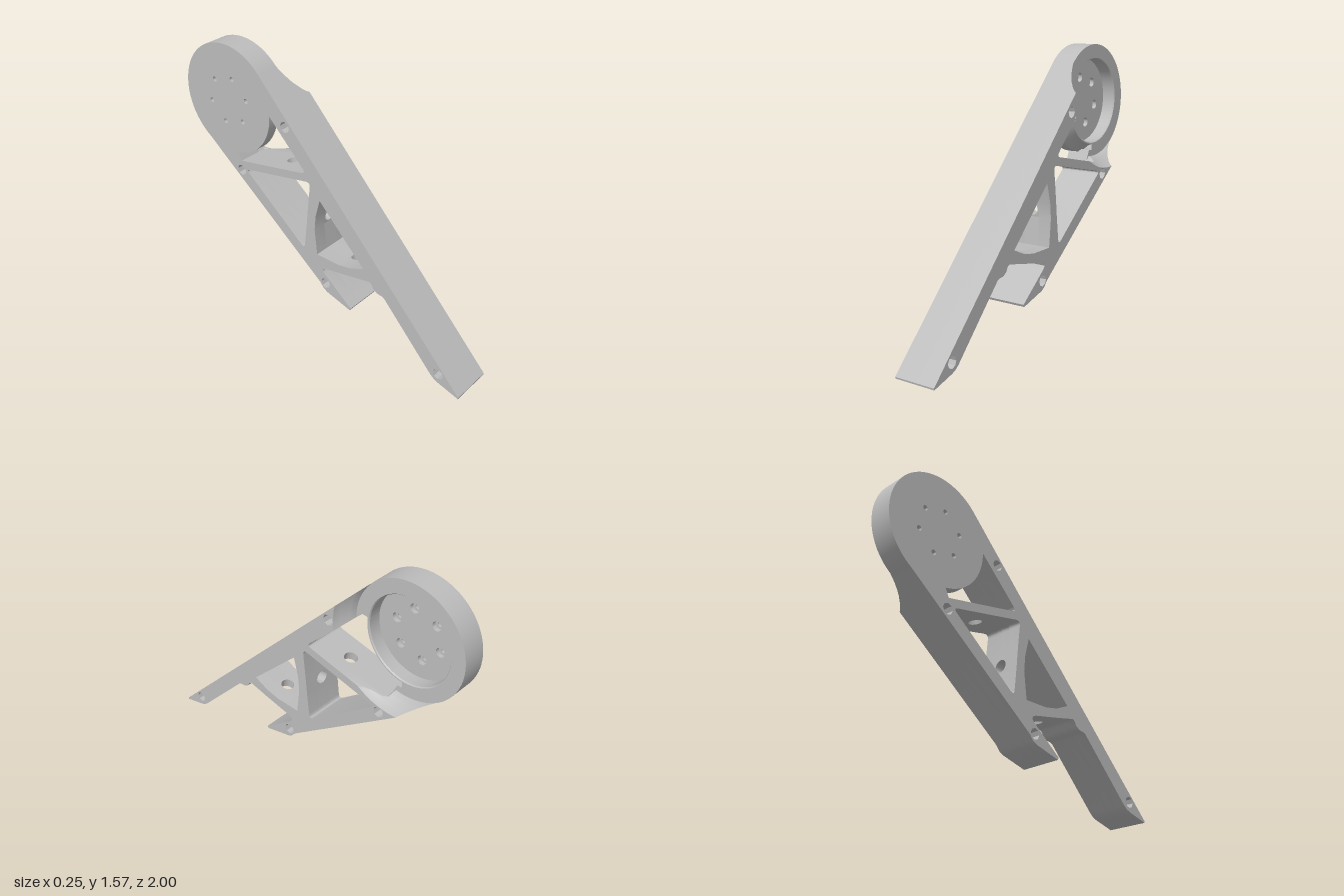
import * as THREE from 'three';
import { toCreasedNormals } from 'three/addons/utils/BufferGeometryUtils.js';

const V = (u, y) => new THREE.Vector2(u, y);
const C = V(0.66, 1.235);   // hub centre; the side plane is (u, y) with u = -z
const W = 0.125;            // half width
const TOP = 0.015;          // hub front face
const PASS = 0.045;         // half size of the openings in the ribs

// Loft outlines of equal point count along x, with straight holes and end caps
function loft(levels, holes = []) {
  const pos = [];
  const push = (x, p) => pos.push(x, p.y, -p.x);
  const flip = THREE.ShapeUtils.isClockWise(levels[0].pts);
  const outer = levels.map((l) => (flip ? l.pts.slice().reverse() : l.pts));
  const inner = holes.map((h) => (THREE.ShapeUtils.isClockWise(h) ? h : h.slice().reverse()));
  const last = levels.length - 1;
  const wall = (ring) => {
    for (let k = 0; k < last; k++) {
      const a = ring(k), b = ring(k + 1), xa = levels[k].x, xb = levels[k + 1].x;
      a.forEach((p, i) => {
        const j = (i + 1) % a.length;
        push(xa, p); push(xa, a[j]); push(xb, b[j]);
        push(xa, p); push(xb, b[j]); push(xb, b[i]);
      });
    }
  };
  wall((k) => outer[k]);
  inner.forEach((h) => wall(() => h));
  [0, last].forEach((k) => {
    const all = [outer[k], ...inner].flat();
    THREE.ShapeUtils.triangulateShape(outer[k], inner).forEach((f) => {
      (k ? f : [f[0], f[2], f[1]]).forEach((i) => push(levels[k].x, all[i]));
    });
  });
  const g = new THREE.BufferGeometry();
  g.setAttribute('position', new THREE.Float32BufferAttribute(pos, 3));
  return toCreasedNormals(g, 0.6);
}

// Rounded corner at p between neighbours a and b
function corner(a, p, b, r) {
  const s = p.clone().add(a.clone().sub(p).setLength(r));
  const e = p.clone().add(b.clone().sub(p).setLength(r));
  return new THREE.QuadraticBezierCurve(s, p, e).getPoints(5);
}

// Where a line heading for the hub meets a circle round it
function hit(p, dir, r) {
  const d = dir.clone().normalize(), m = C.clone().sub(p), t = m.dot(d);
  const q = Math.sqrt(Math.max(0, r * r - m.lengthSq() + t * t));
  return p.clone().addScaledVector(d, t - q);
}

// Arm end that follows the hub circle from a to b
function endArc(a, b, r) {
  const t0 = a.clone().sub(C).angle();
  let dt = b.clone().sub(C).angle() - t0;
  if (dt > Math.PI) dt -= 2 * Math.PI;
  if (dt < -Math.PI) dt += 2 * Math.PI;
  const pts = [a];
  for (let i = 1; i < 16; i++) {
    const t = t0 + (dt * i) / 16;
    pts.push(V(C.x + r * Math.cos(t), C.y + r * Math.sin(t)));
  }
  return [...pts, b];
}

const circle = (u, y, r, n) => Array.from({ length: n }, (_, i) => {
  const t = (i / n) * Math.PI * 2;
  return V(u + r * Math.cos(t), y + r * Math.sin(t));
});

// Ribs: centre, direction from lower to upper arm, half thickness
const ribs = [
  { c: V(-0.2, 0.465), d: V(-0.98, 0.2), h: 0.0268 },
  { c: V(0.0466, 0.69), d: V(-0.09, 0.995), h: 0.03 },
  { c: V(0.28, 0.914), d: V(-0.977, 0.214), h: 0.0245 },
];
const cut = (k, s, t) => {
  const { c, d, h } = ribs[k];
  return V(c.x + d.x * s * PASS - d.y * t * h, c.y + d.y * s * PASS + d.x * t * h);
};

// Corners of the three windows
const A = [V(0, 0.905), V(0.035, 0.445), V(-0.385, 0.53)];
const B = [V(0.05, 0.94), V(0.1, 0.475), V(0.55, 0.83)];
const K = V(0.079, 0.983), armDir = V(1, 0.98), barDir = V(1, -0.217);
const round = (t, i) => corner(t[(i + 2) % 3], t[i], t[(i + 1) % 3], 0.035).reverse();
const windowCorner = corner(K.clone().add(barDir), K, K.clone().add(armDir), 0.035);

// Outline stretches shared by the whole frame and the split arms
const upperEdge = (r) => [
  ...endArc(hit(K, armDir, r), hit(V(-1, 0.01), V(1, 1.03), r), r),
  V(-1, 0.01), V(-0.998, 0), V(-0.86, 0.037), V(-0.835, 0.048), V(-0.81, 0.068),
  V(-0.48, 0.415), V(-0.46, 0.422), V(-0.43, 0.425), V(-0.405, 0.442), V(-0.39, 0.468), V(-0.375, 0.476),
];
const lowerEdge = (r) => [
  V(-0.07, 0.411), V(-0.048, 0.402), V(-0.04, 0.387), V(-0.052, 0.37),
  V(-0.247, 0.217), V(-0.24, 0.203), V(-0.07, 0.248), V(-0.045, 0.262), V(-0.02, 0.293),
  ...endArc(hit(V(-0.02, 0.293), V(1, 0.763), r), hit(K, barDir, r), r),
];
const frame = (r) => [...upperEdge(r), cut(0, 1, 1), cut(0, -1, 1), ...lowerEdge(r),
  cut(2, -1, -1), cut(2, 1, -1), ...windowCorner];
const upperArm = (r) => [...upperEdge(r), cut(0, 1, 1), cut(0, 1, -1), ...round(A, 2), ...round(A, 0),
  cut(1, 1, 1), cut(1, 1, -1), ...round(B, 0), cut(2, 1, 1), cut(2, 1, -1), ...windowCorner];
const lowerArm = (r) => [cut(0, -1, 1), ...lowerEdge(r), cut(2, -1, -1), cut(2, -1, 1), ...round(B, 2),
  ...round(B, 1), cut(1, -1, -1), cut(1, -1, 1), ...round(A, 1), cut(0, -1, -1)];
const windows = [
  [cut(0, 1, -1), ...round(A, 2), ...round(A, 0), cut(1, 1, 1), cut(1, -1, 1), ...round(A, 1), cut(0, -1, -1)],
  [cut(1, 1, -1), ...round(B, 0), cut(2, 1, 1), cut(2, -1, 1), ...round(B, 2), ...round(B, 1), cut(1, -1, -1)],
];
const upperBolts = [circle(-0.86, 0.095, 0.033, 8), circle(0.23, 1.215, 0.033, 8)];
const lowerBolts = [circle(-0.06, 0.305, 0.033, 8), circle(0.585, 0.81, 0.033, 8)];

// Hollow flare of the arms around the hub
const flare = [[0.014, 0.336], [0.03, 0.342], [0.045, 0.351], [0.06, 0.361], [0.075, 0.37],
  [0.09, 0.38], [0.11, 0.391], [W, 0.397]];

export function createModel() {
  const group = new THREE.Group();
  const grey = new THREE.MeshStandardMaterial({ color: 0xbcbcbc });
  grey.name = 'grey';
  const add = (name, geo) => {
    const m = new THREE.Mesh(geo, grey);
    m.name = name;
    group.add(m);
    return m;
  };
  const straight = (x0, x1, f) => [x0, x1].map((x) => ({ x, pts: f(0.3) }));
  const flared = (x0, x1, f) => flare.filter(([x]) => x >= x0 && x <= x1).map(([x, r]) => ({ x, pts: f(r) }));

  // Side frames and the arms between them
  const bolts = [...upperBolts, ...lowerBolts];
  add('backFrame', loft(straight(-W, -PASS, frame), [...windows, ...bolts]));
  add('frontFrame', loft(flared(PASS, W, frame), [...windows, ...bolts]));
  [['upperArm', upperArm, upperBolts], ['lowerArm', lowerArm, lowerBolts]].forEach(([name, f, holes]) => {
    add(name, loft(straight(-PASS, 0.014, f), holes));
    add(name + 'Flare', loft(flared(0.014, PASS, f), holes));
  });

  // Middle of each rib with a round opening
  ribs.forEach(({ c, d, h }) => {
    const s = new THREE.Shape([V(-PASS, -PASS), V(PASS, -PASS), V(PASS, PASS), V(-PASS, PASS)]);
    s.holes.push(new THREE.Path().absarc(0, 0, 0.038, 0, Math.PI * 2, true));
    const g = new THREE.ExtrudeGeometry(s, { depth: 2 * h, bevelEnabled: false, curveSegments: 20 });
    g.translate(0, 0, -h);
    const along = new THREE.Vector3(0, d.y, -d.x).normalize(), across = new THREE.Vector3(1, 0, 0);
    g.applyMatrix4(new THREE.Matrix4().makeBasis(along, across, along.clone().cross(across)));
    g.translate(0, c.y, -c.x);
    add('ribOpening', toCreasedNormals(g, 0.6));
  });

  // Hub ring: full rim outside, sloped rim facing the window between the arms
  const bore = [[0.256, TOP], [0.251, 0.008], [0.251, -0.1]];
  const sector = (name, profile, from, to) => {
    const a = THREE.MathUtils.degToRad(from), b = THREE.MathUtils.degToRad(to);
    const g = new THREE.LatheGeometry([...profile, ...bore].map(([r, x]) => V(r, x)),
      Math.ceil((to - from) / 4), a + Math.PI, b - a);
    g.rotateZ(-Math.PI / 2);
    g.translate(0, C.y, -C.x);
    add(name, toCreasedNormals(g, 0.6));
  };
  sector('hubRing', [[0.24, -W], [0.338, -W], [0.338, TOP]], -94, 175);
  sector('hubInnerRim', [[0.24, -W], [0.316, -W], [0.316, -0.06], [0.295, -0.035], [0.275, -0.01], [0.263, TOP]], 175, 266);

  // Hub floor with six counterbored screw holes
  const screws = (r) => Array.from({ length: 6 }, (_, i) => {
    const t = THREE.MathUtils.degToRad(104 + i * 60);
    return circle(C.x + 0.144 * Math.cos(t), C.y + 0.144 * Math.sin(t), r, 20);
  });
  const disc = circle(C.x, C.y, 0.2512, 72);
  add('hubBack', loft([{ x: -W, pts: disc }, { x: -0.09, pts: disc }], screws(0.015)));
  add('hubFloor', loft([{ x: -0.09, pts: disc }, { x: -0.065, pts: disc }], screws(0.028)));
  return group;
}
